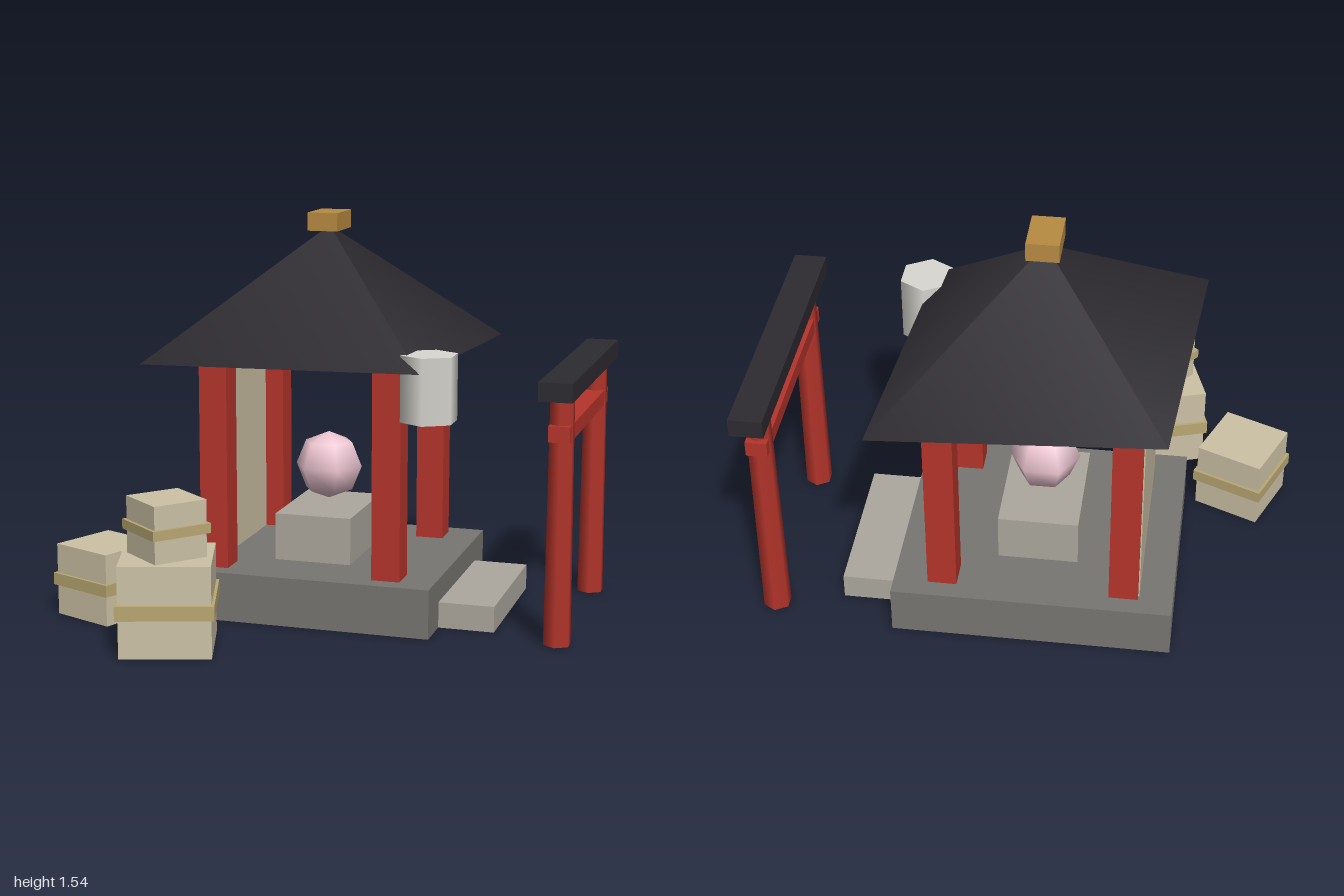
import * as THREE from 'three';

const mat = (color, extra = {}) => new THREE.MeshStandardMaterial({ color, ...extra });

export function createModel() {
  const model = new THREE.Group();
  const red = mat(0xb5352b), dark = mat(0x2d2b30), stone = mat(0x787672);
  const paleStone = mat(0xaca89e), wood = mat(0xcdc2a6), strap = mat(0xb9a873);
  const CX = -0.058, CZ = -0.232; // shrine centre

  function add(name, geometry, material, x, y, z, turn = 0, parent = model) {
    const mesh = new THREE.Mesh(geometry, material);
    mesh.name = name;
    mesh.position.set(x, y, z);
    mesh.rotation.y = turn;
    parent.add(mesh);
    return mesh;
  }
  const box = (w, h, d) => new THREE.BoxGeometry(w, h, d);

  // Stone platform, entrance step and altar
  add('platform', box(1.055, 0.19, 0.93), stone, CX, 0.095, CZ);
  add('step', box(0.27, 0.1, 0.62), paleStone, 0.55, 0.05, -0.235);
  add('altar', box(0.305, 0.185, 0.435), paleStone, CX, 0.2825, CZ);
  add('orb', new THREE.SphereGeometry(0.135, 6, 4), mat(0xf0c8d4), CX, 0.535, CZ);

  // Four pillars and the rear wall
  for (const sx of [-1, 1]) {
    for (const sz of [-1, 1]) {
      add('pillar', box(0.11, 0.82, 0.11), red, CX + sx * 0.342, 0.6, CZ + sz * 0.34);
    }
  }
  add('rearWall', box(0.04, 0.745, 0.75), wood, -0.44, 0.5625, CZ);

  // Skewed pyramid roof with a ridge cap
  const roof = new THREE.ConeGeometry(0.803, 0.485, 4);
  roof.scale(0.855, 1, 1);
  roof.rotateY(-Math.PI / 4);
  add('roof', roof, dark, CX, 1.2425, CZ - 0.005);
  add('roofCap', box(0.12, 0.07, 0.185), mat(0xb98b42), CX, 1.505, CZ - 0.002);

  // Hanging lantern
  add('lantern', new THREE.CylinderGeometry(0.11, 0.11, 0.25, 6), mat(0xd9d8d1), 0.44, 0.935, 0.142);

  // Sagging rope across the entrance
  const ropePoints = [];
  for (let i = 0; i <= 8; i++) {
    const a = (i / 8) * Math.PI;
    ropePoints.push(new THREE.Vector3(0, -0.125 * Math.sin(a), 0.34 * Math.cos(a)));
  }
  const rope = new THREE.TubeGeometry(new THREE.CatmullRomCurve3(ropePoints), 12, 0.02, 5);
  add('rope', rope, mat(0xc5b485, { side: THREE.DoubleSide }), 0.325, 1.0, CZ);

  // Entrance gate
  const gate = new THREE.Group();
  gate.name = 'gate';
  gate.position.set(0.936, 0, CZ);
  model.add(gate);
  for (const s of [-1, 1]) {
    add('gatePost', new THREE.CylinderGeometry(0.047, 0.054, 0.94, 6), red, 0, 0.47, s * 0.373, 0, gate);
  }
  add('gateCrossbar', box(0.08, 0.06, 0.865), red, 0, 0.8, 0, 0, gate);
  add('gateLintel', box(0.124, 0.07, 1.055), dark, 0, 0.97, 0, 0, gate);

  // Strapped crates
  const crates = [
    { x: -0.43, y: 0, z: 0.573, size: 0.338, height: 0.345, band: [0.145, 0.2], bandSize: 0.36, turn: 0.304 },
    { x: -0.43, y: 0.345, z: 0.575, size: 0.214, height: 0.215, band: [0.09, 0.127], bandSize: 0.238, turn: -0.69 },
    { x: -0.808, y: 0, z: 0.258, size: 0.27, height: 0.28, band: [0.118, 0.165], bandSize: 0.293, turn: -0.403 },
  ];
  for (const c of crates) {
    const [b0, b1] = c.band;
    add('crate', box(c.size, c.height, c.size), wood, c.x, c.y + c.height / 2, c.z, c.turn);
    add('crateStrap', box(c.bandSize, b1 - b0, c.bandSize), strap, c.x, c.y + (b0 + b1) / 2, c.z, c.turn);
  }
  return model;
}
